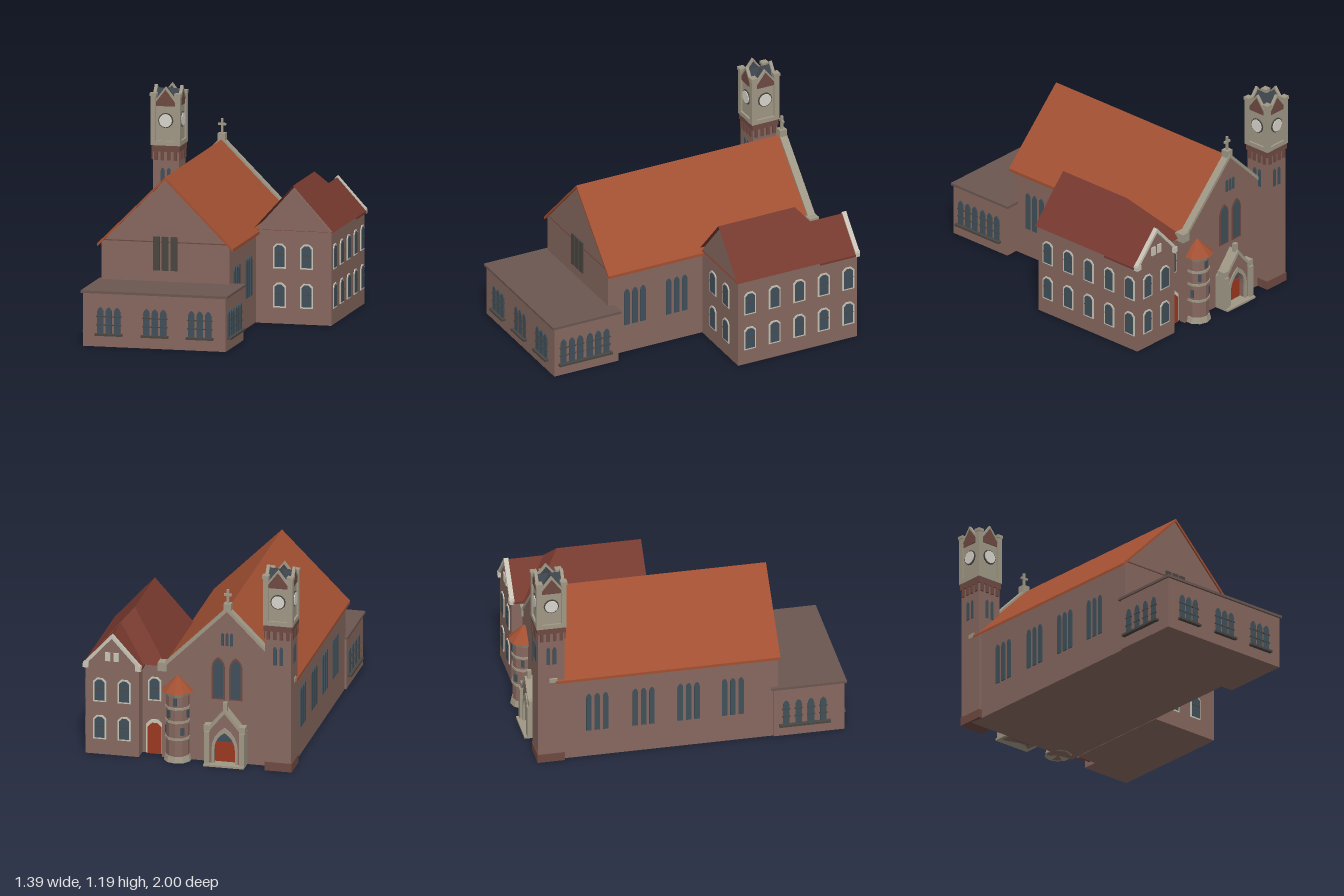
import * as THREE from 'three';

const WALL = 0x86685f, DARKWALL = 0x6f4a42, TILE = 0xa25032, HOUSETILE = 0x76392f, FLAT = 0x6b5650;
const STONE = 0xa09886, TRIM = 0xc9c4b6, GLASS = 0x40505a, SLATE = 0x3d434b, DOOR = 0x9a3820, LEAD = 0x4a4641;

const materials = {};
const mat = (color) => (materials[color] ??= new THREE.MeshStandardMaterial({ color, flatShading: true, side: THREE.DoubleSide }));

function add(parent, name, geometry, color, x = 0, y = 0, z = 0, ry = 0) {
  const mesh = new THREE.Mesh(geometry, mat(color));
  mesh.name = name;
  mesh.position.set(x, y, z);
  mesh.rotation.y = ry;
  parent.add(mesh);
  return mesh;
}
const box = (p, name, color, w, h, d, x, y, z, ry = 0) =>
  add(p, name, new THREE.BoxGeometry(w, h, d), color, x, y + h / 2, z, ry);

const polygon = (pts) => new THREE.Shape(pts.map(([x, y]) => new THREE.Vector2(x, y)));
const extrude = (shape, depth) => new THREE.ExtrudeGeometry(shape, { depth, bevelEnabled: false, curveSegments: 4 });

// Pentagon walls with a gable at both ends
const gableWalls = (half, eave, ridge, depth) =>
  extrude(polygon([[-half, 0], [half, 0], [half, eave], [0, ridge], [-half, eave]]), depth);
// Two roof slopes of even thickness
const chevron = (half, eave, ridge, t, depth) =>
  extrude(polygon([[-half, eave], [-half, eave - t], [0, ridge - t], [half, eave - t], [half, eave], [0, ridge]]), depth);

// Pointed window outline, standing on y = 0
function lancet(w, h) {
  const s = new THREE.Shape(), r = w / 2, spring = h - w * 0.9;
  s.moveTo(-r, 0);
  s.lineTo(r, 0);
  s.lineTo(r, spring);
  s.quadraticCurveTo(r, h - w * 0.3, 0, h);
  s.quadraticCurveTo(-r, h - w * 0.3, -r, spring);
  return s;
}
// Window outline with cut corners at the top
const cutTop = (w, h, c) => polygon([[-w / 2, 0], [w / 2, 0], [w / 2, h - c], [w / 2 - c, h], [c - w / 2, h], [-w / 2, h - c]]);

// A flat wall frame: local x runs along the wall, +z points outwards
function face(parent, name, x, z, ry) {
  const g = new THREE.Group();
  g.name = name;
  g.position.set(x, 0, z);
  g.rotation.y = ry;
  parent.add(g);
  return g;
}
// Row of lancets with crossbars and a sill
function lancetRow(wall, cx, y, w, h, count, step, sill = false) {
  for (let i = 0; i < count; i++) {
    const x = cx + (i - (count - 1) / 2) * step;
    add(wall, 'lancetWindow', extrude(lancet(w, h), 0.006), GLASS, x, y, 0);
    if (sill) for (const f of [0.3, 0.62]) box(wall, 'windowBar', LEAD, w + 0.01, 0.006, 0.012, x, y + h * f, 0.003);
  }
  if (sill) box(wall, 'windowSill', LEAD, count * step + 0.01, 0.012, 0.03, cx, y - 0.012, 0.008);
}
// Framed window of the house
function houseWindow(wall, x, y) {
  add(wall, 'windowFrame', extrude(cutTop(0.074, 0.14, 0.02), 0.005), TRIM, x, y - 0.005, 0);
  add(wall, 'windowPane', extrude(cutTop(0.056, 0.122, 0.016), 0.008), GLASS, x, y + 0.004, 0);
  box(wall, 'windowBar', LEAD, 0.056, 0.005, 0.01, x, y + 0.07, 0.005);
}

const CX = -0.073; // centre line of the nave

function buildNave(p) {
  const g = new THREE.Group();
  g.name = 'nave';
  p.add(g);
  add(g, 'naveWalls', gableWalls(0.365, 0.52, 0.885, 1.27), WALL, CX, 0, -0.755);
  add(g, 'naveRoof', chevron(0.388, 0.513, 0.9, 0.016, 1.265), TILE, CX, 0, -0.74);
  // Back facade with raised stone coping
  add(g, 'facade', gableWalls(0.37, 0.525, 0.9, 0.035), WALL, CX, 0, -0.775);
  add(g, 'facadeCoping', chevron(0.385, 0.53, 0.915, 0.024, 0.045), STONE, CX, 0, -0.78);
  box(g, 'kneeler', STONE, 0.05, 0.05, 0.06, 0.295, 0.51, -0.755);
  // Cross on its pedestal
  box(g, 'crossPedestal', STONE, 0.042, 0.045, 0.042, CX, 0.89, -0.755);
  box(g, 'crossPost', STONE, 0.013, 0.08, 0.013, CX, 0.935, -0.755);
  box(g, 'crossArm', STONE, 0.044, 0.012, 0.013, CX, 0.978, -0.755);

  const front = face(g, 'frontGable', CX, 0.515, 0);
  for (const x of [-0.05, 0, 0.05]) box(front, 'gableWindow', LEAD, 0.038, 0.19, 0.012, x, 0.375, 0.002);
  box(front, 'stringCourse', DARKWALL, 0.73, 0.006, 0.006, 0, 0.532, 0.001);
  const left = face(g, 'plainSide', CX - 0.365, 0, -Math.PI / 2);
  for (const z of [-0.507, -0.245, 0.01, 0.26]) lancetRow(left, z, 0.165, 0.03, 0.235, 3, 0.047);
  const right = face(g, 'houseSide', CX + 0.365, 0, Math.PI / 2);
  for (const z of [0.35, 0.09]) lancetRow(right, -z, 0.17, 0.032, 0.225, 3, 0.05);

  const back = face(g, 'backFacade', CX, -0.775, Math.PI);
  for (const s of [-1, 1]) {
    add(back, 'tallWindowSurround', extrude(lancet(0.075, 0.25), 0.004), DARKWALL, s * 0.05, 0.37, 0);
    lancetRow(back, s * 0.05, 0.378, 0.056, 0.23, 1, 0);
  }
  lancetRow(back, 0, 0.69, 0.016, 0.075, 3, 0.026);
}

function buildPorch(p) {
  const g = face(p, 'porch', CX, -0.775, Math.PI);
  // Gabled front with a pointed doorway cut through it
  const shape = polygon([[-0.095, 0], [0.095, 0], [0.095, 0.2], [0, 0.315], [-0.095, 0.2]]);
  shape.holes.push(new THREE.Path(lancet(0.125, 0.205).getPoints(5)));
  add(g, 'porchBody', extrude(shape, 0.055), WALL);
  add(g, 'porchCoping', chevron(0.112, 0.2, 0.335, 0.026, 0.065), STONE);
  const arch = lancet(0.15, 0.225);
  arch.holes.push(new THREE.Path(lancet(0.118, 0.195).getPoints(5)));
  add(g, 'doorArch', extrude(arch, 0.012), STONE, 0, 0, 0.05);
  add(g, 'archHead', extrude(lancet(0.125, 0.205), 0.015), GLASS);
  box(g, 'doors', DOOR, 0.116, 0.125, 0.02, 0, 0, 0.012);
  for (const s of [-1, 1]) {
    box(g, 'porchButtress', STONE, 0.03, 0.2, 0.075, s * 0.1, 0, 0.037);
    box(g, 'buttressCap', STONE, 0.036, 0.035, 0.05, s * 0.1, 0.2, 0.04);
  }
  box(g, 'porchFinial', STONE, 0.024, 0.05, 0.024, 0, 0.32, 0.04);
  box(g, 'doorStep', STONE, 0.23, 0.012, 0.09, 0, 0, 0.045);
}

function buildTurret(p) {
  const g = face(p, 'turret', 0.205, -0.785, 0);
  const drum = (name, color, r0, r1, y, h) => add(g, name, new THREE.CylinderGeometry(r1, r0, h, 10), color, 0, y + h / 2, 0);
  drum('turretWall', WALL, 0.066, 0.066, 0, 0.41);
  drum('turretPlinth', STONE, 0.078, 0.07, 0, 0.035);
  for (const y of [0.13, 0.23, 0.31]) drum('turretBand', STONE, 0.071, 0.071, y, 0.014);
  drum('turretCornice', STONE, 0.068, 0.08, 0.385, 0.025);
  drum('turretRoof', TILE, 0.09, 0.004, 0.41, 0.085);
  for (let i = 0; i < 5; i++) { // slit windows climbing round the drum
    const a = Math.PI * (0.6 + i * 0.2), y = [0.16, 0.26, 0.335][i % 3];
    box(g, 'turretSlit', GLASS, 0.02, 0.045, 0.012, Math.sin(a) * 0.064, y, Math.cos(a) * 0.064, a);
  }
}

function buildTower(p) {
  const g = face(p, 'tower', -0.38, -0.77, 0);
  box(g, 'towerPlinth', DARKWALL, 0.156, 0.05, 0.156, 0, 0, 0);
  box(g, 'towerShaft', WALL, 0.148, 0.86, 0.148, 0, 0, 0);
  box(g, 'corbelCourse', DARKWALL, 0.162, 0.035, 0.162, 0, 0.825, 0);
  box(g, 'belfryLedge', STONE, 0.17, 0.025, 0.17, 0, 0.86, 0);
  box(g, 'belfryBody', STONE, 0.146, 0.215, 0.146, 0, 0.88, 0);
  for (const sx of [-1, 1]) for (const sz of [-1, 1]) {
    box(g, 'cornerPier', STONE, 0.03, 0.26, 0.03, sx * 0.07, 0.88, sz * 0.07);
    box(g, 'pierCap', STONE, 0.038, 0.018, 0.038, sx * 0.07, 1.135, sz * 0.07);
  }
  for (let i = 0; i < 4; i++) {
    const f = new THREE.Group();
    f.name = 'towerFace';
    f.rotation.y = i * Math.PI / 2;
    g.add(f);
    // Clock
    const disc = (name, color, r, z) => { add(f, name, new THREE.CylinderGeometry(r, r, 0.012, 12), color, 0, 1.0, z).rotation.x = Math.PI / 2; };
    disc('clockRim', LEAD, 0.043, 0.073);
    disc('clockDial', 0xd8d5cc, 0.037, 0.077);
    // Gable, its coping and the slate roof behind it
    add(f, 'towerGable', extrude(polygon([[-0.056, 1.08], [0.056, 1.08], [0.056, 1.105], [0, 1.175], [-0.056, 1.105]]), 0.012), DARKWALL, 0, 0, 0.066);
    add(f, 'gableCoping', chevron(0.06, 1.112, 1.19, 0.016, 0.018), STONE, 0, 0, 0.064);
    add(f, 'slateRoof', extrude(polygon([[-0.06, 1.085], [0.06, 1.085], [0.06, 1.1], [0, 1.172], [-0.06, 1.1]]), 0.068), SLATE);
    // Corbels and paired slits
    for (const x of [-0.055, -0.018, 0.018, 0.055]) box(f, 'corbel', DARKWALL, 0.018, 0.05, 0.014, x, 0.777, 0.076);
    for (const s of [-1, 1]) add(f, 'towerSlit', extrude(lancet(0.02, 0.11), 0.005), GLASS, s * 0.018, 0.625, 0.073);
  }
}

function buildAnnex(p) {
  const g = new THREE.Group();
  g.name = 'annex';
  p.add(g);
  box(g, 'annexWalls', WALL, 0.815, 0.3, 0.4, -0.04, 0, 0.69);
  box(g, 'annexRoof', FLAT, 0.836, 0.014, 0.424, -0.04, 0.299, 0.69);
  const front = face(g, 'annexFront', -0.04, 0.89, 0);
  for (const x of [-0.26, 0.003, 0.26]) lancetRow(front, x, 0.075, 0.036, 0.148, 3, 0.048, true);
  const left = face(g, 'annexLeft', -0.4475, 0.665, -Math.PI / 2);
  lancetRow(left, 0, 0.075, 0.036, 0.148, 4, 0.07, true);
  const right = face(g, 'annexRight', 0.3675, 0.7, Math.PI / 2);
  for (const s of [-1, 1]) lancetRow(right, s * 0.082, 0.075, 0.036, 0.148, 3, 0.052, true);
}

function buildHouse(p) {
  const g = new THREE.Group();
  g.name = 'house';
  p.add(g);
  const hx = 0.51, wx = 0.573;
  // Main block: gable to the front, hip to the back
  box(g, 'houseWalls', WALL, 0.43, 0.525, 0.655, hx, 0, -0.3975);
  add(g, 'frontGable', extrude(polygon([[-0.215, 0.525], [0.215, 0.525], [0, 0.765]]), 0.02), WALL, hx, 0, -0.09);
  const L = [0.28, 0.525, -0.058], R = [0.74, 0.525, -0.058], BL = [0.28, 0.525, -0.745], BR = [0.74, 0.525, -0.745];
  const T = [hx, 0.78, -0.058], H = [hx, 0.78, -0.535];
  const roof = new THREE.BufferGeometry();
  const tris = [L, T, H, L, H, BL, R, BR, H, R, H, T, BL, H, BR, L, BL, BR, L, BR, R];
  roof.setAttribute('position', new THREE.Float32BufferAttribute(tris.flat(), 3));
  roof.computeVertexNormals();
  add(g, 'houseRoof', roof, HOUSETILE);
  // Back wing with stone-coped gable
  add(g, 'wingWalls', gableWalls(0.152, 0.525, 0.685, 0.2), WALL, wx, 0, -0.81);
  add(g, 'wingRoof', chevron(0.166, 0.523, 0.705, 0.012, 0.225), HOUSETILE, wx, 0, -0.8);
  add(g, 'wingCoping', chevron(0.166, 0.532, 0.714, 0.024, 0.026), TRIM, wx, 0, -0.822);
  for (const s of [-1, 1]) box(g, 'wingKneeler', TRIM, 0.03, 0.03, 0.03, wx + s * 0.148, 0.51, -0.81);

  const front = face(g, 'houseFront', hx, -0.07, 0);
  const side = face(g, 'houseSide', 0.725, 0, Math.PI / 2);
  const back = face(g, 'wingBack', wx, -0.81, Math.PI);
  for (const y of [0.095, 0.315]) {
    for (const x of [-0.08, 0.075]) houseWindow(front, x, y);
    for (let i = 0; i < 5; i++) houseWindow(side, 0.143 + i * 0.153, y);
    for (const x of [-0.07, 0.07]) houseWindow(back, x, y);
  }
  for (const s of [-1, 1]) box(back, 'atticWindow', TRIM, 0.03, 0.05, 0.01, s * 0.024, 0.555, 0.003);
  // Side entrance between turret and wing
  const entry = face(g, 'sideEntrance', 0.35, -0.725, Math.PI);
  houseWindow(entry, 0, 0.315);
  add(entry, 'entranceFrame', extrude(cutTop(0.1, 0.2, 0.03), 0.006), TRIM);
  add(entry, 'entranceDoor', extrude(cutTop(0.08, 0.18, 0.025), 0.012), DOOR);
}

export function createModel() {
  const model = new THREE.Group();
  model.name = 'church';
  const site = new THREE.Group();
  site.name = 'building';
  site.rotation.y = 0.3; // the building stands askew to the axes
  model.add(site);
  for (const build of [buildNave, buildPorch, buildTurret, buildTower, buildAnnex, buildHouse]) build(site);
  return model;
}
